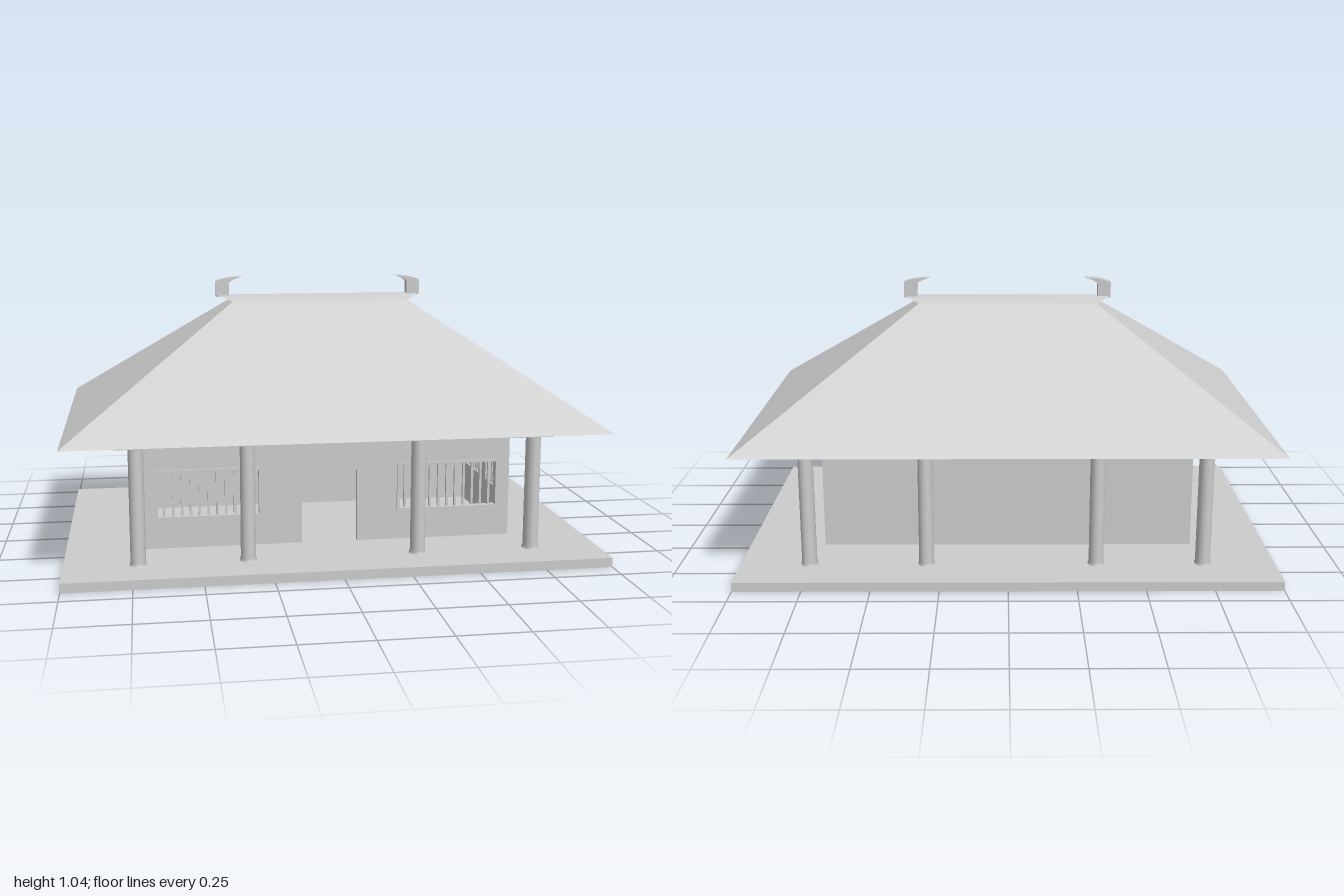
import * as THREE from 'three';

const mat = new THREE.MeshStandardMaterial({ color: 0xcccccc, side: THREE.DoubleSide });
const flat = new THREE.MeshStandardMaterial({ color: 0xcccccc, side: THREE.DoubleSide, flatShading: true });

const FLOOR = 0.035, WALL_TOP = 0.472, EAVE = 0.5;
const WALL_X = 0.71, WALL_Z = 0.303, THICK = 0.02;

function mesh(name, geometry, parent, material = mat) {
  const m = new THREE.Mesh(geometry, material);
  m.name = name;
  parent.add(m);
  return m;
}

function box(name, parent, w, h, d, x, y, z) {
  const m = mesh(name, new THREE.BoxGeometry(w, h, d), parent);
  m.position.set(x, y, z);
  return m;
}

function surface(points, index) {
  const g = new THREE.BufferGeometry();
  g.setAttribute('position', new THREE.Float32BufferAttribute(points.flat(), 3));
  g.setIndex(index);
  g.computeVertexNormals();
  return g;
}

// Wall panel whose outer face lies on local z = 0, with window holes and an optional doorway
function wallPanel(name, halfWidth, windows, door) {
  const group = new THREE.Group();
  group.name = name;
  const outline = [[-halfWidth, FLOOR]];
  if (door) {
    outline.push([-door.half, FLOOR], [-door.half, door.top], [door.half, door.top], [door.half, FLOOR]);
  }
  outline.push([halfWidth, FLOOR], [halfWidth, WALL_TOP], [-halfWidth, WALL_TOP]);
  const shape = new THREE.Shape(outline.map(([x, y]) => new THREE.Vector2(x, y)));
  for (const w of windows) {
    const corners = [[-1, -1], [-1, 1], [1, 1], [1, -1]];
    shape.holes.push(new THREE.Path(corners.map(([sx, sy]) =>
      new THREE.Vector2(w.x + sx * w.w / 2, w.y + sy * w.h / 2))));
  }
  const panel = new THREE.ExtrudeGeometry(shape, { depth: THICK, bevelEnabled: false });
  mesh('wall', panel.translate(0, 0, -THICK), group);
  windows.forEach((w) => group.add(barredWindow(w)));
  return group;
}

// Frame with evenly spaced vertical bars
function barredWindow({ x, y, w, h, bars, proud }) {
  const group = new THREE.Group();
  group.name = 'window';
  const f = 0.009, depth = THICK + proud, z = (proud - THICK) / 2;
  for (const s of [-1, 1]) {
    box('windowFrameSide', group, f, h, depth, x + s * (w - f) / 2, y, z);
    box('windowFrameRail', group, w - 2 * f, f, depth, x, y + s * (h - f) / 2, z);
  }
  for (let i = 1; i <= bars; i++) {
    box('windowBar', group, 0.009, h - 2 * f, 0.012, x - w / 2 + (w * i) / (bars + 1), y, -0.008);
  }
  return group;
}

function house() {
  const group = new THREE.Group();
  group.name = 'house';
  const frontWindows = [-1, 1].map((s) => ({ x: s * 0.463, y: 0.244, w: 0.4, h: 0.19, bars: 11, proud: 0.009 }));
  const sideWindows = [-1, 1].map((s) => ({ x: s * 0.153, y: 0.267, w: 0.221, h: 0.156, bars: 8, proud: 0.005 }));

  const front = wallPanel('frontWall', WALL_X, frontWindows, { half: 0.107, top: 0.313 });
  front.position.z = WALL_Z;
  const back = wallPanel('backWall', WALL_X, []);
  back.position.z = -WALL_Z;
  back.rotation.y = Math.PI;
  group.add(front, back);
  for (const s of [-1, 1]) {
    const side = wallPanel(s > 0 ? 'leftWall' : 'rightWall', WALL_Z, sideWindows);
    side.position.x = s * WALL_X;
    side.rotation.y = s * Math.PI / 2;
    group.add(side);
  }
  return group;
}

// Veranda columns with a small flared foot
function columns() {
  const group = new THREE.Group();
  group.name = 'columns';
  const profile = [[0.032, FLOOR], [0.028, FLOOR + 0.012], [0.0275, WALL_TOP]]
    .map(([r, y]) => new THREE.Vector2(r, y));
  const geometry = new THREE.LatheGeometry(profile, 24);
  for (const z of [-0.485, 0.485]) {
    for (const x of [-0.73, -0.33, 0.305, 0.743]) {
      const column = mesh('column', geometry, group);
      column.position.set(x, 0, z);
      column.scale.z = 1.22;
    }
  }
  return group;
}

function roof() {
  const group = new THREE.Group();
  group.name = 'roof';

  // Hipped slopes between the eave ring and the upper ring, closed below
  const ring = (x, y, z) => [[x, y, z], [x, y, -z], [-x, y, -z], [-x, y, z]];
  const points = [...ring(0.99, EAVE, 0.66), ...ring(0.345, 0.945, 0.075)];
  const index = [0, 2, 1, 0, 3, 2];
  for (let i = 0; i < 4; i++) {
    const j = (i + 1) % 4;
    index.push(i, j, j + 4, i, j + 4, i + 4);
  }
  mesh('roofSlopes', surface(points, index), group, flat);

  // Rounded ridge cap that overhangs at both ends
  const section = [[0.075, 0.945, 0.345], [0.045, 0.956, 0.375], [0.022, 0.964, 0.397], [0, 0.967, 0.405]];
  const full = [...section, ...section.slice(0, 3).reverse().map(([z, y, x]) => [-z, y, x])];
  const cap = [], capIndex = [];
  full.forEach(([z, y, x], i) => {
    cap.push([-x, y, z], [x, y, z]);
    const a = 2 * i;
    if (i < full.length - 1) capIndex.push(a, a + 1, a + 3, a, a + 3, a + 2);
  });
  mesh('ridgeCap', surface(cap, capIndex), group);

  // Undersides of the overhanging cap ends
  const endIndex = [];
  for (let i = 1; i < full.length - 1; i++) {
    const a = 2 * i;
    endIndex.push(1, a + 1, a + 3, 0, a + 2, a);
  }
  mesh('ridgeCapEnds', surface(cap, endIndex), group, flat);

  // Ridge-end finials with tips curling inward
  const horn = new THREE.Shape();
  horn.moveTo(0.355, 0.955);
  horn.lineTo(0.405, 0.96);
  horn.lineTo(0.405, 1.02);
  horn.quadraticCurveTo(0.365, 1.037, 0.305, 1.037);
  horn.quadraticCurveTo(0.335, 1.03, 0.355, 1.015);
  horn.closePath();
  const hornGeometry = new THREE.ExtrudeGeometry(horn, { depth: 0.04, bevelEnabled: false, curveSegments: 4 });
  hornGeometry.translate(0, 0, -0.02);
  for (const s of [-1, 1]) {
    const finial = mesh(s > 0 ? 'leftFinial' : 'rightFinial', hornGeometry, group, flat);
    finial.rotation.y = s > 0 ? 0 : Math.PI;
  }
  return group;
}

export function createModel() {
  const model = new THREE.Group();
  model.name = 'pavilion';
  box('platform', model, 2, FLOOR, 1.33, 0, FLOOR / 2, 0);
  box('roofBeam', model, 1.61, EAVE - WALL_TOP, 1.07, -0.003, (EAVE + WALL_TOP) / 2 - 0.001, 0.003);
  model.add(house(), columns(), roof());
  return model;
}
